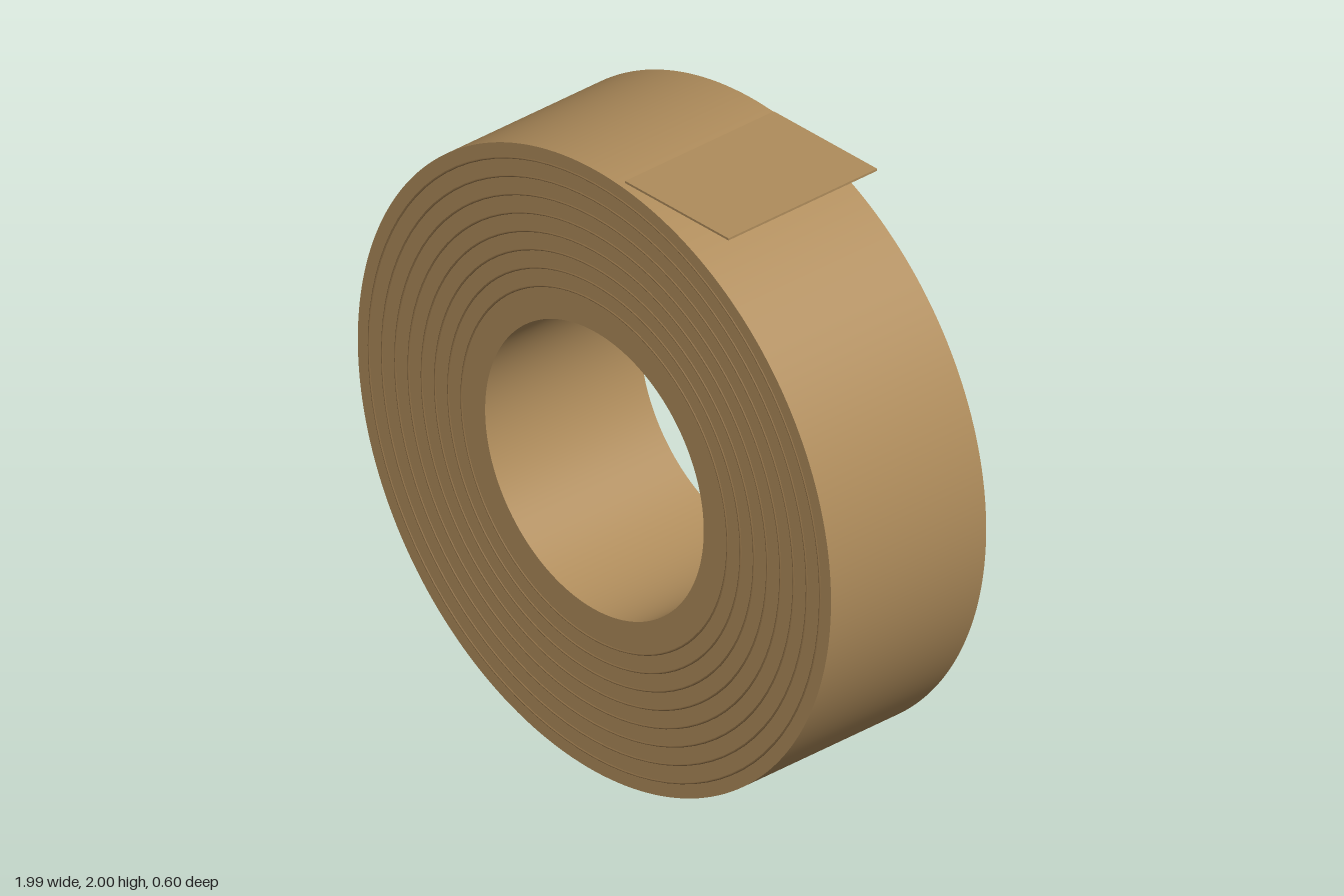
import * as THREE from 'three';

export function createModel() {
  const tan = new THREE.MeshStandardMaterial({ color: 0xb08d5c });
  tan.name = 'tan tape';
  const brown = new THREE.MeshStandardMaterial({ color: 0x8f7047 });
  brown.name = 'brown layer line';

  const model = new THREE.Group();
  model.name = 'tapeRoll';
  const outer = 0.996, inner = 0.46, coreOuter = 0.5, half = 0.3;

  const add = (name, geometry, material, x, y, z) => {
    const mesh = new THREE.Mesh(geometry, material);
    mesh.name = name;
    mesh.position.set(x, y, z);
    model.add(mesh);
  };

  // Hollow ring along z with smooth walls and flat ends
  const annulus = (rOut, rIn) => {
    const shape = new THREE.Shape().absarc(0, 0, rOut, 0, Math.PI * 2, false);
    shape.holes.push(new THREE.Path().absarc(0, 0, rIn, 0, Math.PI * 2, true));
    const g = new THREE.ExtrudeGeometry(shape, { depth: half * 2, bevelEnabled: false, curveSegments: 96 });
    g.translate(0, 0, -half);
    // Point the wall normals along the radius so that they shade smoothly
    const p = g.attributes.position, n = g.attributes.normal;
    for (let i = 0; i < p.count; i++) {
      if (Math.abs(n.getZ(i)) > 0.5) continue;
      const r = Math.hypot(p.getX(i), p.getY(i));
      const s = r > (rOut + rIn) / 2 ? 1 : -1;
      n.setXYZ(i, s * p.getX(i) / r, s * p.getY(i) / r, 0);
    }
    return g;
  };

  // Wound tape around its core
  add('tapeWinding', annulus(outer, coreOuter), tan, 0, outer, -0.002);
  add('core', annulus(coreOuter, inner), tan, 0, outer, -0.002);

  // Fine layer lines on the front face
  for (let i = 0; i < 8; i++) {
    const line = new THREE.TorusGeometry(0.56 + i * 0.0557, 0.003, 6, 96);
    add('layerLine' + (i + 1), line, brown, 0, outer, half - 0.002);
  }

  // Loose end of the tape, leaving the roll at the top
  add('looseEnd', new THREE.BoxGeometry(0.435, 0.007, 0.575), tan, 0.333, 1.9965, -0.002);

  return model;
}
